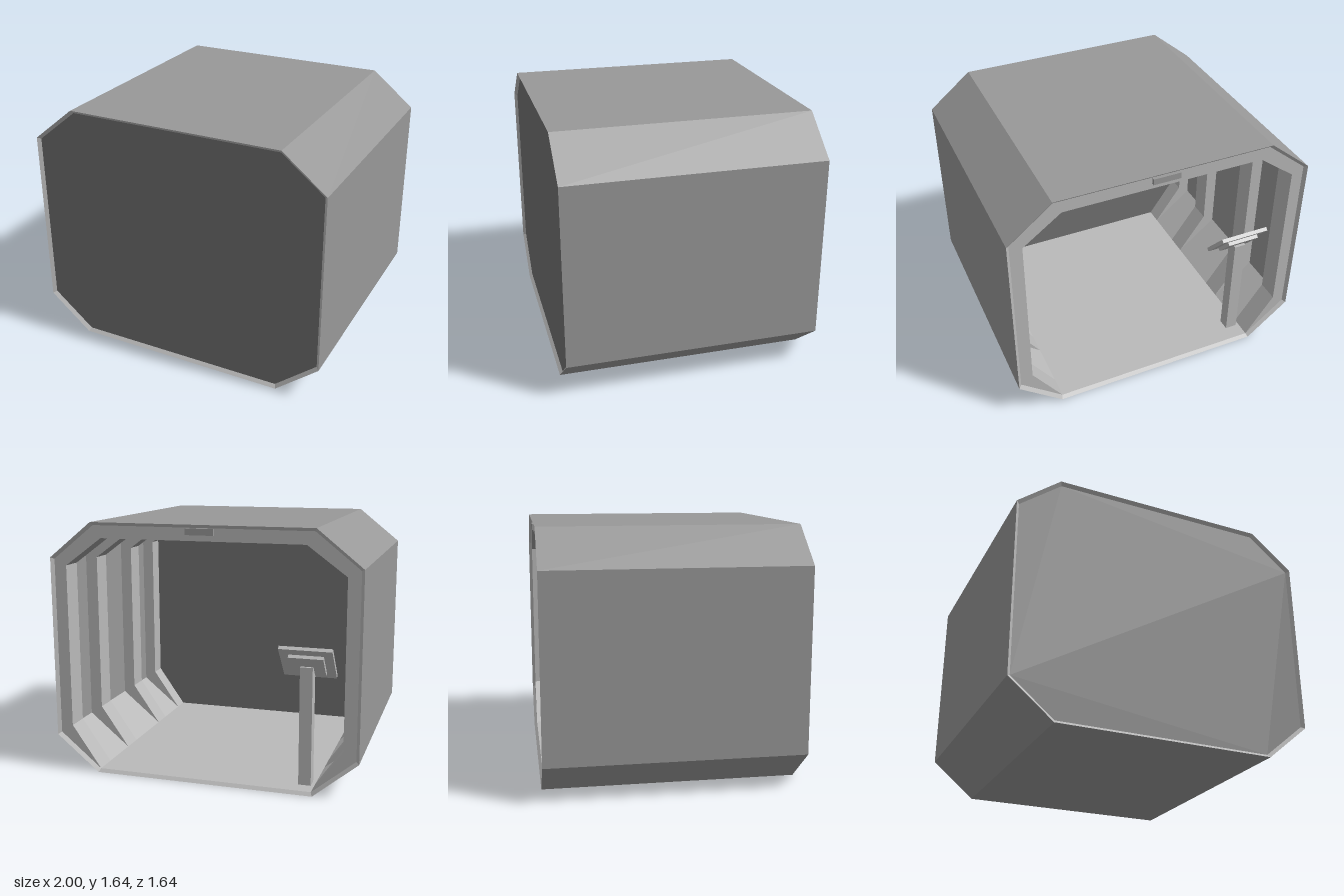
import * as THREE from 'three';

const flat = (name, color) => {
  const m = new THREE.MeshStandardMaterial({ color, side: THREE.DoubleSide });
  m.name = name;
  return m;
};

// Eight-sided loop, starting at the +x end of the floor and running up and over.
const octagon = (xFloor, yFloor, xSide, yLow, yHigh, xTop, yTop) => [
  [xFloor, yFloor], [xSide, yLow], [xSide, yHigh], [xTop, yTop],
  [-xTop, yTop], [-xSide, yHigh], [-xSide, yLow], [-xFloor, yFloor],
];

const OUTER = octagon(0.715, 0, 1, 0.235, 1.41, 0.715, 1.64);
const INNER = octagon(0.705, 0.02, 0.98, 0.247, 1.4, 0.705, 1.62);
const RIB = octagon(0.705, 0.02, 0.9, 0.3, 1.36, 0.655, 1.54);
const SEGMENTS = { lower: [0, 6], side: [1, 5], upper: [2, 4], top: [3], floor: [7] };
const ALL = [0, 1, 2, 3, 4, 5, 6, 7];
const pick = (...names) => names.flatMap((n) => SEGMENTS[n]);

// Flat quads joining loop a at depth za to loop b at depth zb, on the chosen segments.
function band(name, a, za, b, zb, segments, material) {
  const p = [];
  for (const i of segments) {
    const j = (i + 1) % 8;
    const A = [...a[i], za], B = [...a[j], za], C = [...b[j], zb], D = [...b[i], zb];
    p.push(...A, ...B, ...C, ...A, ...C, ...D);
  }
  const g = new THREE.BufferGeometry();
  g.setAttribute('position', new THREE.Float32BufferAttribute(p, 3));
  g.computeVertexNormals();
  const mesh = new THREE.Mesh(g, material);
  mesh.name = name;
  return mesh;
}

function box(name, size, position, material) {
  const mesh = new THREE.Mesh(new THREE.BoxGeometry(...size), material);
  mesh.position.set(...position);
  mesh.name = name;
  return mesh;
}

export function createModel() {
  const model = new THREE.Group();
  model.name = 'corridorModule';
  const hull = flat('hull grey', 0x989898);
  const trim = flat('light trim grey', 0xb9b9b9);
  const dark = flat('dark panel grey', 0x727272);

  // Outer skin and bevelled end rims
  model.add(band('outerShell', OUTER, 0.82, OUTER, -0.82, ALL, hull));
  model.add(band('frontRim', OUTER, 0.82, INNER, 0.8, ALL, trim));
  model.add(band('backRim', OUTER, -0.82, INNER, -0.8, ALL, trim));

  // Inner lining
  model.add(band('floor', INNER, -0.8, INNER, 0.76, pick('floor', 'lower'), trim));
  model.add(band('wallPanels', INNER, -0.8, INNER, 0.76, pick('side'), hull));
  model.add(band('ceilingPanels', INNER, -0.8, INNER, 0.76, pick('upper', 'top'), dark));

  // Closed front end
  const shape = new THREE.Shape(INNER.map(([x, y]) => new THREE.Vector2(x, y)));
  const wall = new THREE.Mesh(
    new THREE.ExtrudeGeometry(shape, { depth: 0.04, bevelEnabled: false }), dark);
  wall.position.z = 0.76;
  wall.name = 'frontWall';
  model.add(wall);

  // Ribs tapering into the floor
  const ribSpans = [[-0.8, -0.655], [-0.36, -0.215], [0.215, 0.36], [0.64, 0.76]];
  const arch = pick('lower', 'side', 'upper', 'top');
  for (const [z0, z1] of ribSpans) {
    const rib = new THREE.Group();
    rib.name = 'rib';
    rib.add(band('ribBack', INNER, z0, RIB, z0, arch, trim));
    rib.add(band('ribFront', INNER, z1, RIB, z1, arch, trim));
    rib.add(band('ribSides', RIB, z0, RIB, z1, pick('lower', 'side'), trim));
    rib.add(band('ribCrown', RIB, z0, RIB, z1, pick('upper', 'top'), hull));
    model.add(rib);
  }

  // Ceiling spine bridging the gaps between ribs
  for (let i = 0; i < 3; i++) {
    const a = ribSpans[i][1], b = ribSpans[i + 1][0];
    model.add(box('ceilingSpine', [0.22, 0.03, b - a], [0, 1.555, (a + b) / 2], hull));
  }

  // Small latch above the open end
  model.add(box('latch', [0.18, 0.04, 0.02], [0, 1.597, -0.81], hull));

  // Control console: post and tilted head with a stepped back
  const console_ = new THREE.Group();
  console_.name = 'console';
  console_.position.set(-0.643, 0, -0.66);
  console_.add(box('consolePost', [0.08, 0.76, 0.08], [0, 0.4, 0], trim));
  const head = new THREE.Group();
  head.name = 'consoleHead';
  head.position.y = 0.795;
  head.rotation.x = 0.86;
  head.add(box('headPlate', [0.335, 0.025, 0.27], [0, 0.012, 0], trim));
  head.add(box('headBack', [0.22, 0.025, 0.17], [0, -0.012, 0], trim));
  console_.add(head);
  model.add(console_);

  return model;
}
